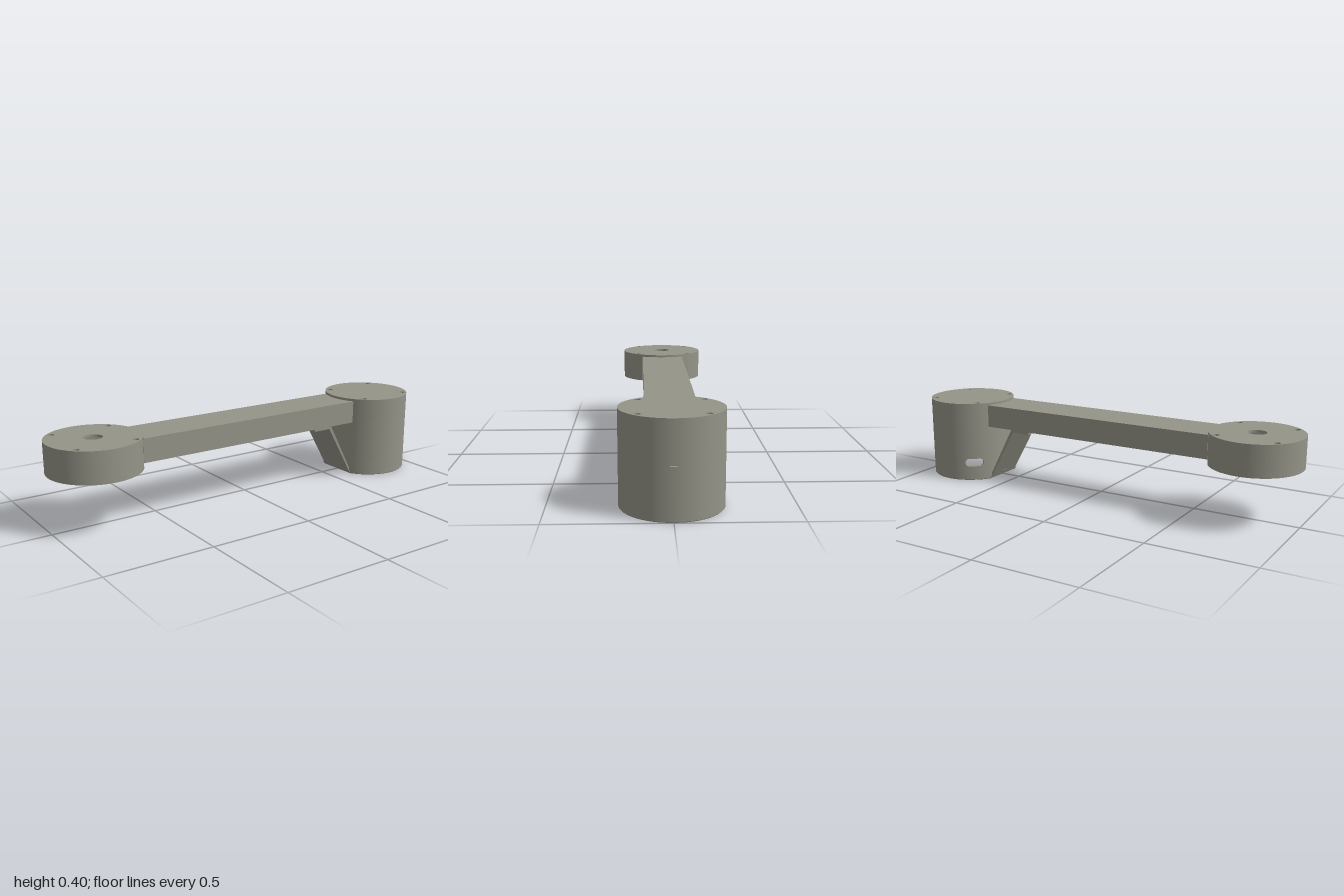
import * as THREE from 'three';
import { ParametricGeometry } from 'three/addons/geometries/ParametricGeometry.js';

const END = 0.787, R = 0.213, RI = 0.2, TOP = 0.4, CAP_Y = 0.389, ARM_Z = 0.108, SCREW = 0.135;
const material = new THREE.MeshStandardMaterial({ color: 0x959488, side: THREE.DoubleSide });

function add(group, name, geometry, x = 0, y = 0, z = 0) {
  const mesh = new THREE.Mesh(geometry, material);
  mesh.name = name;
  mesh.position.set(x, y, z);
  group.add(mesh);
  return mesh;
}

// Flat plate: outline in plan, extruded upwards
function plate(shape, depth) {
  return new THREE.ExtrudeGeometry(shape, { depth, bevelEnabled: false, curveSegments: 40 }).rotateX(-Math.PI / 2);
}
function disc(radius) {
  return new THREE.Shape().absarc(0, 0, radius, 0, Math.PI * 2, false);
}
function drill(shape, x, y, radius) {
  shape.holes.push(new THREE.Path().absarc(x, y, radius, 0, Math.PI * 2, true));
}
function drillCircle(shape, count, pitch, radius) {
  for (let i = 0; i < count; i++) {
    const a = ((i + 0.5) / count) * Math.PI * 2;
    drill(shape, pitch * Math.cos(a), pitch * Math.sin(a), radius);
  }
}
function drillScrews(shape, radius) {
  for (const sx of [-1, 1]) for (const sz of [-1, 1]) drill(shape, sx * SCREW, sz * SCREW, radius);
}
function rectangle(x0, x1, halfZ) {
  return new THREE.Shape([[x0, -halfZ], [x1, -halfZ], [x1, halfZ], [x0, halfZ]].map(p => new THREE.Vector2(...p)));
}

// Lid with four counterbored screw holes and hollow screw posts below it
function addLid(group, x, postBottom, centreHole) {
  const shape = disc(R);
  if (centreHole) drill(shape, 0, 0, centreHole);
  drillScrews(shape, 0.014);
  add(group, 'lid', plate(shape, TOP - CAP_Y), x, CAP_Y, 0);
  const post = disc(0.018);
  drill(post, 0, 0, 0.007);
  for (const sx of [-1, 1]) for (const sz of [-1, 1]) {
    add(group, 'screwPost', plate(post, 0.382 - postBottom), x + sx * SCREW, postBottom, sz * SCREW);
  }
}

// Sloping brace line; the housing wall is trimmed flat where it meets it
const braceX = y => 0.46 + (0.264 - y) * 0.55;
function wallPoint(radius, angle, y, target) {
  target.set(Math.max(END + radius * Math.cos(angle), braceX(y)), y, radius * Math.sin(angle));
}

// Band of the housing wall, with an optional rounded slot { angle, w, h, y }
function addBand(group, y0, y1, slot) {
  const span = slot ? 0.4 : 0, start = slot ? slot.angle : 0;
  for (const r of [R, RI]) {
    add(group, 'housingWall', new ParametricGeometry((u, v, p) =>
      wallPoint(r, start + span + u * (Math.PI * 2 - 2 * span), y0 + v * (y1 - y0), p), 128, 8));
  }
  if (!slot) return;
  const edge = (u) => {
    const c = Math.cos(u * Math.PI * 2), s = Math.sin(u * Math.PI * 2), m = Math.max(Math.abs(c), Math.abs(s));
    const flat = (slot.w - slot.h) * Math.max(-1, Math.min(1, c * 4));
    return {
      inner: [(flat + slot.h * c) / R, slot.y + slot.h * s],
      outer: [span * c / m, (y0 + y1) / 2 + (y1 - y0) / 2 * s / m],
    };
  };
  for (const r of [R, RI]) {
    add(group, 'slottedWall', new ParametricGeometry((u, v, p) => {
      const { inner, outer } = edge(u);
      wallPoint(r, slot.angle + inner[0] + (outer[0] - inner[0]) * v, inner[1] + (outer[1] - inner[1]) * v, p);
    }, 128, 8));
  }
  add(group, 'slotEdge', new ParametricGeometry((u, v, p) => {
    const { inner } = edge(u);
    wallPoint(R + (RI - R) * v, slot.angle + inner[0], inner[1], p);
  }, 128, 1));
}

function motorHousing() {
  const group = new THREE.Group();
  group.name = 'motorHousing';
  addBand(group, 0.003, 0.18, { angle: -Math.PI * 0.75 + 0.12, w: 0.047, h: 0.02, y: 0.093 });
  addBand(group, 0.18, 0.26, { angle: 0, w: 0.016, h: 0.003, y: 0.22 });
  addBand(group, 0.26, CAP_Y);
  // Chamfered lower rim
  const rim = [[R, 0.003], [R - 0.003, 0], [RI, 0], [RI, 0.003]];
  for (let i = 0; i < 3; i++) {
    add(group, 'lowerRim', new ParametricGeometry((u, v, p) => {
      const [a, b] = [rim[i], rim[i + 1]];
      wallPoint(a[0] + (b[0] - a[0]) * v, u * Math.PI * 2, a[1] + (b[1] - a[1]) * v, p);
    }, 128, 1));
  }
  // Recessed mounting ring
  const ring = disc(RI - 0.003);
  drill(ring, 0, 0, 0.11);
  drillCircle(ring, 8, 0.152, 0.012);
  add(group, 'mountingRing', plate(ring, 0.012), END, 0.024, 0);
  addLid(group, END, 0.32);
  return group;
}

function jointCup() {
  const group = new THREE.Group();
  group.name = 'jointCup';
  // Wall is open where the arm enters
  const cut = Math.acos(0.182 / R);
  const wall = new THREE.Shape();
  wall.absarc(0, 0, R, cut, Math.PI * 2 - cut, false);
  wall.absarc(0, 0, RI, Math.PI * 2 - cut, cut, true);
  add(group, 'cupWall', plate(wall, CAP_Y - 0.255), -END, 0.255, 0);
  const floor = new THREE.Shape().absarc(0, 0, RI + 0.005, cut, Math.PI * 2 - cut, false);
  drillScrews(floor, 0.007);
  add(group, 'cupFloor', plate(floor, 0.01), -END, 0.281, 0);
  // Bolt plate continuing the arm's underside
  const bolts = rectangle(-0.168, 0.19, ARM_Z);
  drillCircle(bolts, 6, 0.075, 0.009);
  add(group, 'boltPlate', plate(bolts, 0.008), -END, 0.277, 0);
  add(group, 'hub', new THREE.CylinderGeometry(0.05, 0.05, 0.085, 40), -END, 0.33, 0);
  addLid(group, -END, 0.285, 0.042);
  return group;
}

function brace() {
  const group = new THREE.Group();
  group.name = 'brace';
  const foot = rectangle(0.36, 0.465, 0.1);
  for (const z of [-0.06, 0.06]) drill(foot, 0.405, z, 0.014);
  add(group, 'braceFoot', plate(foot, 0.014), 0, 0.263, 0);
  // Sloping strut, drawn in side profile
  const profile = new THREE.Shape([
    [braceX(0.264) - 0.006, 0.264], [braceX(0.277) + 0.012, 0.277], [braceX(0.004) + 0.01, 0.004], [braceX(0.004), 0.004],
  ].map(p => new THREE.Vector2(...p)));
  const strut = new THREE.ExtrudeGeometry(profile, { depth: 0.2, bevelEnabled: false });
  add(group, 'braceStrut', strut, 0, 0, -0.1);
  return group;
}

export function createModel() {
  const model = new THREE.Group();
  model.name = 'linkArm';
  add(model, 'armBeam', new THREE.BoxGeometry(1.205, 0.111, ARM_Z * 2), 0, 0.3325, 0);
  model.add(motorHousing(), jointCup(), brace());
  return model;
}
